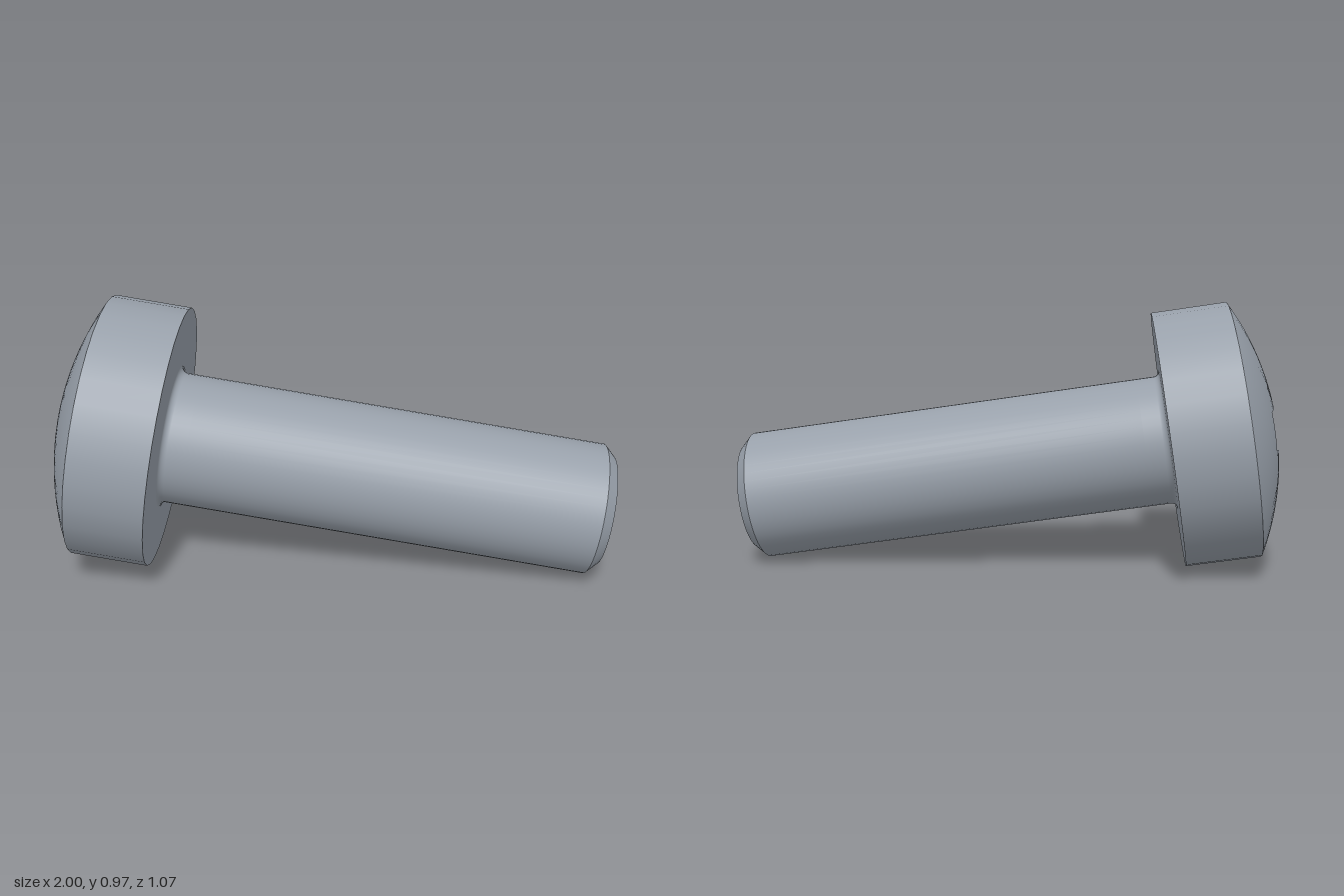
import * as THREE from 'three';

const HEAD_R = 0.472, HEAD_LOW = 1.587, HEAD_HIGH = 1.862;   // heights along the screw axis
const DOME_R = 0.985, DOME_C = HEAD_HIGH - Math.sqrt(DOME_R ** 2 - HEAD_R ** 2);
const SIDES = 32;
const domeY = (x, z) => DOME_C + Math.sqrt(DOME_R ** 2 - x * x - z * z);

// Cross-shaped drive outline with four thin diagonal slots, corners subdivided
function driveOutline(R, w, slotR, e) {
  const q = slotR * Math.SQRT1_2, h = e / 2, corners = [];
  for (let k = 0; k < 4; k++) {
    const c = Math.round(Math.cos(k * Math.PI / 2)), s = Math.round(Math.sin(k * Math.PI / 2));
    for (const [x, z] of [[R, -w], [R, w], [w + e, w], [q + h, q - h], [q - h, q + h], [w, w + e]])
      corners.push([x * c - z * s, x * s + z * c]);
  }
  const out = [];
  corners.forEach((a, i) => {
    const b = corners[(i + 1) % corners.length];
    for (let t = 0; t < 1; t += 0.25) out.push([a[0] + (b[0] - a[0]) * t, a[1] + (b[1] - a[1]) * t]);
  });
  return out;
}

// Surface through closed rings of points, ordered from the inside outwards
function loft(rings) {
  const n = rings[0].length, pos = rings.flat(2), idx = [];
  for (let k = 0; k < rings.length - 1; k++)
    for (let i = 0; i < n; i++) {
      const a = k * n + i, b = k * n + (i + 1) % n;
      idx.push(a, b, a + n, b, b + n, a + n);
    }
  const g = new THREE.BufferGeometry();
  g.setAttribute('position', new THREE.Float32BufferAttribute(pos, 3));
  g.setIndex(idx);
  return g;
}

export function createModel() {
  const steel = new THREE.MeshStandardMaterial({ color: 0x98a0aa });
  steel.name = 'steel grey';
  const screw = new THREE.Group();
  screw.name = 'screw';
  const add = (name, geometry) => {
    const m = new THREE.Mesh(geometry, steel);
    m.name = name;
    screw.add(m);
  };
  const turned = (name, pts, sides) =>
    add(name, new THREE.LatheGeometry(pts.map(p => new THREE.Vector2(...p)), sides));

  // Shank with chamfered tip and a small fillet under the head
  turned('tipFace', [[0, 0], [0.198, 0]], 48);
  turned('tipChamfer', [[0.198, 0], [0.237, 0.04]], 48);
  const shank = [[0.237, 0.04], [0.237, 1.5]];
  for (let i = 0; i <= 5; i++) {
    const a = i / 5 * Math.PI / 2;
    shank.push([0.259 - 0.022 * Math.cos(a), HEAD_LOW - 0.022 + 0.022 * Math.sin(a)]);
  }
  turned('shank', shank, 48);

  // Head
  turned('headUnderside', [[0.23, HEAD_LOW], [HEAD_R, HEAD_LOW]], SIDES);
  turned('headSide', [[HEAD_R, HEAD_LOW], [HEAD_R, HEAD_HIGH]], SIDES);

  // Domed top, running from the drive outline out to the rim
  const outline = driveOutline(0.215, 0.078, 0.225, 0.016);
  const step = 2 * Math.PI / SIDES, rings = [];
  for (let k = 0; k <= 8; k++)
    rings.push(outline.map(([x, z]) => {
      const a = Math.atan2(z, x) + 2 * Math.PI;
      const rim = HEAD_R * Math.cos(step / 2) / Math.cos(a % step - step / 2);
      const r = THREE.MathUtils.lerp(Math.hypot(x, z), rim, k / 8);
      const px = r * Math.cos(a), pz = r * Math.sin(a);
      return [px, k === 8 ? HEAD_HIGH : domeY(px, pz), pz];
    }));
  const dome = loft(rings);
  dome.setAttribute('normal', new THREE.Float32BufferAttribute(
    rings.flat().flatMap(([x, y, z]) => [x / DOME_R, (y - DOME_C) / DOME_R, z / DOME_R]), 3));
  add('headDome', dome);

  // Tapered drive recess
  const floorY = 1.76;
  const floor = driveOutline(0.11, 0.06, 0.1, 0.01);
  const recess = loft([
    floor.map(() => [0, floorY, 0]),
    floor.map(([x, z]) => [x, floorY, z]),
    outline.map(([x, z]) => [x, domeY(x, z), z]),
  ]).toNonIndexed();
  recess.computeVertexNormals();
  add('driveRecess', recess);

  // Lay the screw along its tilted axis, with one drive wing pointing up
  const axis = new THREE.Vector3(-0.967, 0.149, -0.206).normalize();
  const up = new THREE.Vector3(0, 1, 0).addScaledVector(axis, -axis.y).normalize();
  const side = new THREE.Vector3().crossVectors(up, axis);
  screw.quaternion.setFromRotationMatrix(new THREE.Matrix4().makeBasis(up, axis, side));
  screw.position.set(0.95, 0.23, 0.31);

  const model = new THREE.Group();
  model.name = 'panHeadScrew';
  model.add(screw);
  return model;
}
